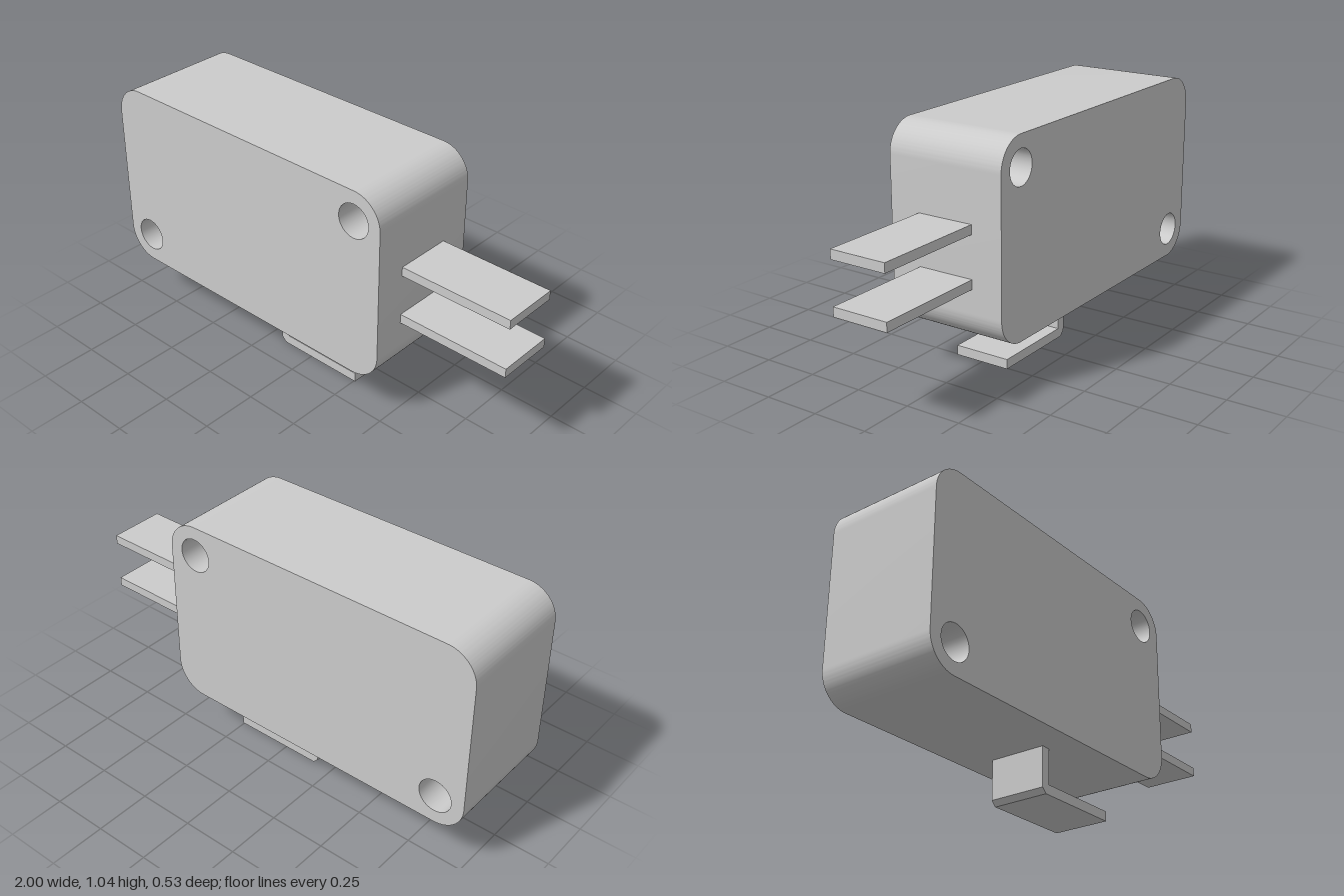
import * as THREE from 'three';
import { toCreasedNormals } from 'three/addons/utils/BufferGeometryUtils.js';

const material = new THREE.MeshStandardMaterial({ color: 0xcccccc });

// Extrude a front outline along z, centred on z = 0, with smooth curves and sharp edges
function extrudeZ(shape, depth, name) {
  const geometry = new THREE.ExtrudeGeometry(shape, { depth, bevelEnabled: false, curveSegments: 16 });
  geometry.translate(0, 0, -depth / 2);
  const mesh = new THREE.Mesh(toCreasedNormals(geometry, 0.5), material);
  mesh.name = name;
  return mesh;
}

export function createModel() {
  const group = new THREE.Group();
  group.name = 'microSwitch';

  // Housing: rounded rectangle with two mounting holes in opposite corners
  const x0 = -1, x1 = 0.49, y0 = 0.195, y1 = 1.045, r = 0.132;
  const outline = new THREE.Shape();
  outline.absarc(x1 - r, y0 + r, r, -Math.PI / 2, 0);
  outline.absarc(x1 - r, y1 - r, r, 0, Math.PI / 2);
  outline.absarc(x0 + r, y1 - r, r, Math.PI / 2, Math.PI);
  outline.absarc(x0 + r, y0 + r, r, Math.PI, Math.PI * 1.5);
  outline.closePath();
  for (const [x, y] of [[x0 + r, y0 + r], [x1 - r, y1 - r]]) {
    outline.holes.push(new THREE.Path().absarc(x, y, 0.075, 0, Math.PI * 2, true));
  }
  group.add(extrudeZ(outline, 0.534, 'housing'));

  // Two flat terminals on the side
  const bladeWidth = 0.256;
  for (const [y, name] of [[0.675, 'upperTerminal'], [0.45, 'lowerTerminal']]) {
    const blade = new THREE.Mesh(new THREE.BoxGeometry(1 - x1, 0.041, bladeWidth), material);
    blade.position.set((1 + x1) / 2, y, 0);
    blade.name = name;
    group.add(blade);
  }

  // Bent terminal under the housing, chamfered at the outer corner
  const bent = new THREE.Shape([
    [-0.177, y0], [-0.177, 0.022], [-0.155, 0], [0.256, 0],
    [0.256, 0.043], [-0.135, 0.043], [-0.135, y0],
  ].map(([x, y]) => new THREE.Vector2(x, y)));
  group.add(extrudeZ(bent, bladeWidth, 'bentTerminal'));

  return group;
}
